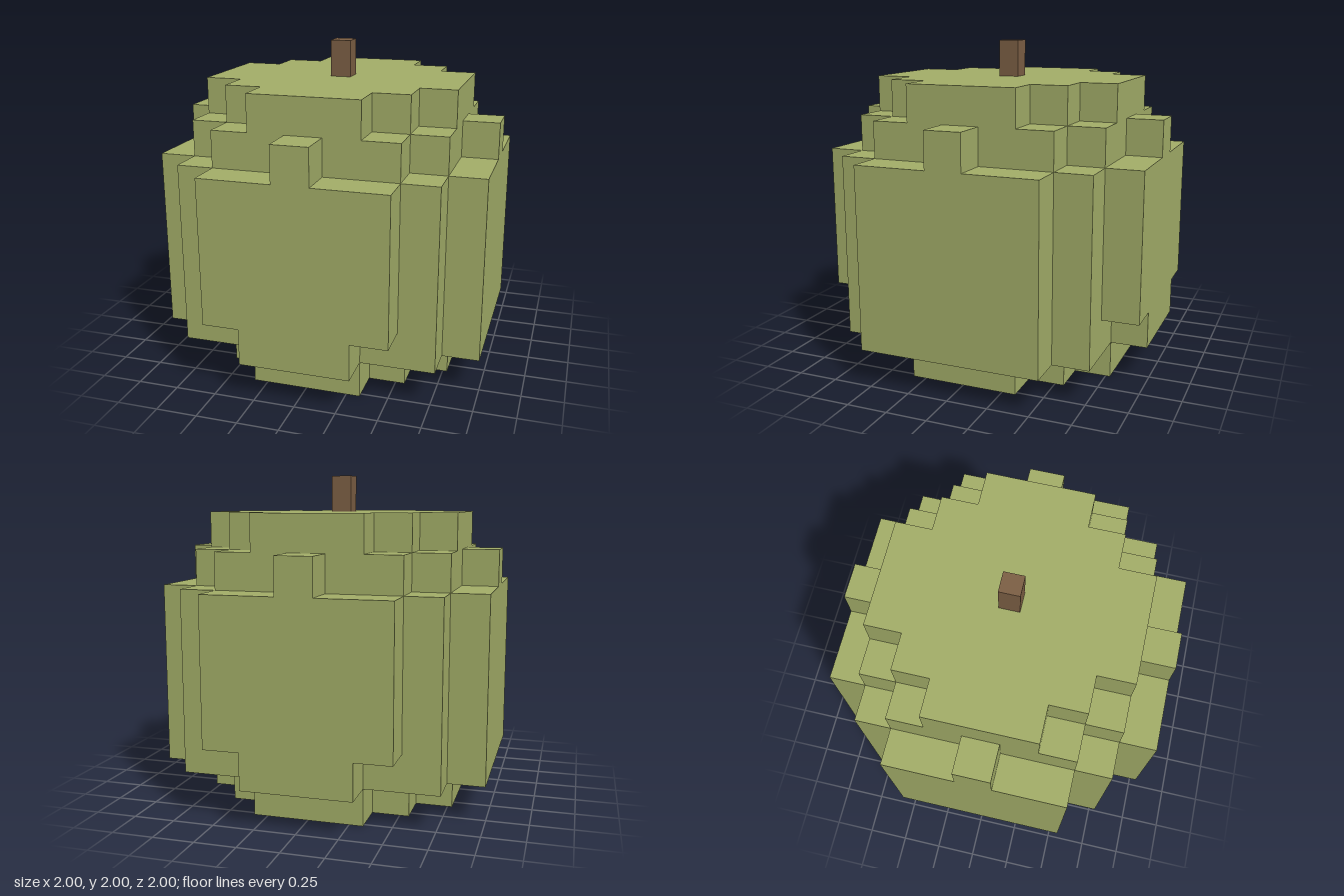
import * as THREE from 'three';

const U = 2 / 9; // size of one block

// Mirror a stepped quarter outline (in blocks) into a full closed plan.
function planShape(quarter) {
  const back = [...quarter].reverse();
  const points = [
    ...quarter,
    ...back.map(([x, z]) => [-x, z]),
    ...quarter.map(([x, z]) => [-x, -z]),
    ...back.map(([x, z]) => [x, -z]),
  ];
  return new THREE.Shape(points.map(([x, z]) => new THREE.Vector2(x * U, z * U)));
}

export function createModel() {
  const group = new THREE.Group();
  const skin = new THREE.MeshStandardMaterial({ color: 0xa4af69 });
  skin.name = 'olive green skin';
  const wood = new THREE.MeshStandardMaterial({ color: 0x7d6045 });
  wood.name = 'brown stem';

  // Stepped layers of the gourd: name, bottom and top in blocks, quarter outline
  const cap = [[3.5, 1.5], [2.5, 1.5], [2.5, 2.5], [1.5, 2.5], [1.5, 3.5]];
  const layers = [
    ['base', 0, 1, cap],
    ['lowerBody', 1, 2, [[4.5, 2.5], [3.5, 2.5], [3.5, 3.5], [1.5, 3.5], [1.5, 4.5]]],
    ['body', 2, 6, [[4.5, 2.5], [3.5, 2.5], [3.5, 3.5], [2.5, 3.5], [2.5, 4.5]]],
    ['shoulder', 6, 7,
      [[4.5, 0.5], [3.5, 0.5], [3.5, 2.5], [2.5, 2.5], [2.5, 3.5], [0.5, 3.5], [0.5, 4.5]]],
    ['crown', 7, 8, cap],
  ];
  for (const [name, bottom, top, quarter] of layers) {
    const geometry = new THREE.ExtrudeGeometry(planShape(quarter), {
      depth: (top - bottom) * U,
      bevelEnabled: false,
    });
    geometry.rotateX(-Math.PI / 2);
    const mesh = new THREE.Mesh(geometry, skin);
    mesh.name = name;
    mesh.position.y = bottom * U;
    group.add(mesh);
  }

  // Square stem
  const stemHeight = 2 - 8 * U;
  const stem = new THREE.Mesh(new THREE.BoxGeometry(0.125, stemHeight, 0.125), wood);
  stem.name = 'stem';
  stem.position.y = 8 * U + stemHeight / 2;
  group.add(stem);

  return group;
}
